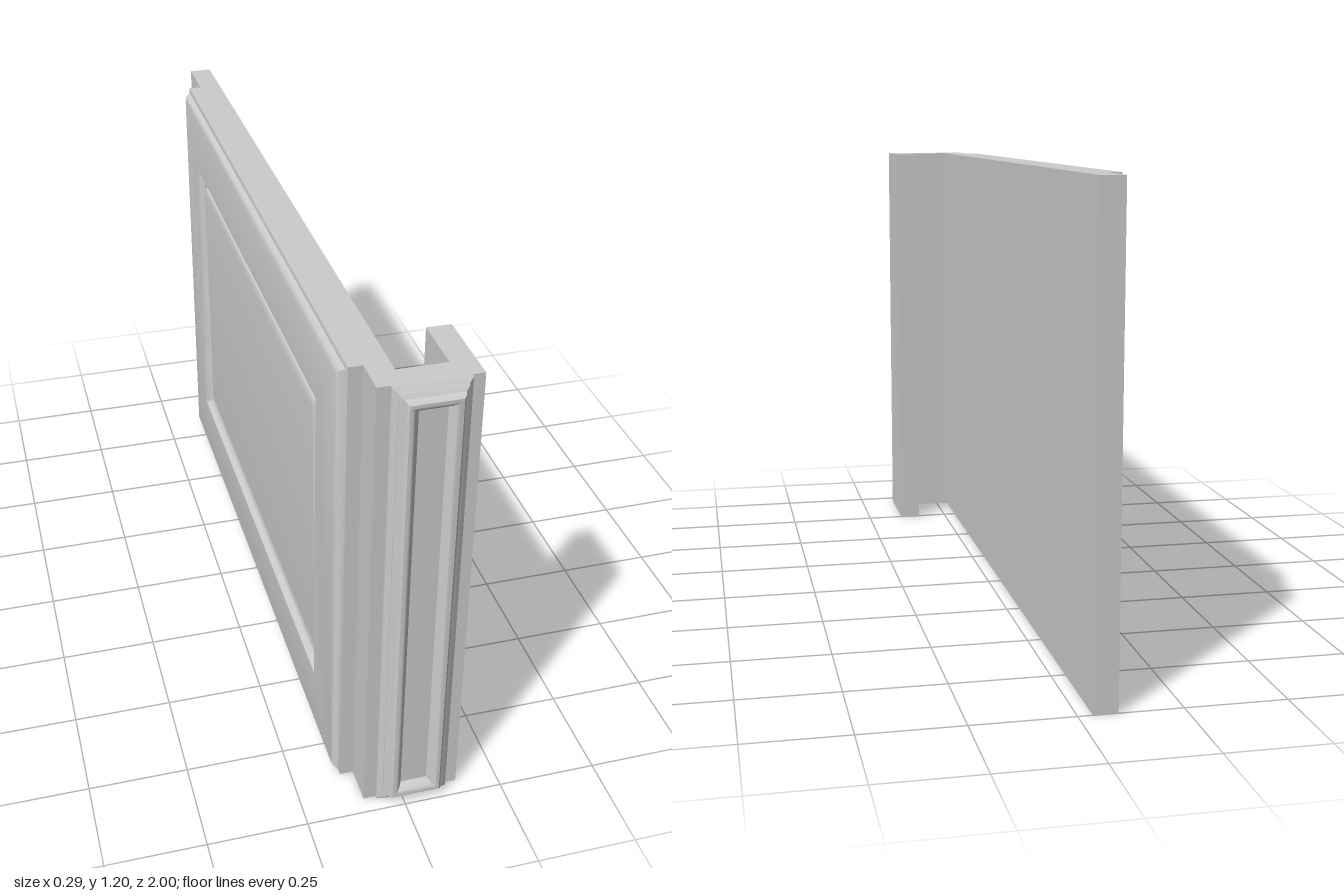
import * as THREE from 'three';
import { toCreasedNormals } from 'three/addons/utils/BufferGeometryUtils.js';

const material = new THREE.MeshStandardMaterial({ color: 0xcccccc });
const HEIGHT = 1.2;

// Rectangular moulded panel facing +z: nested rectangles from [inset, depth] steps, capped in the middle
function mouldedPanel(name, width, height, profile) {
  const positions = [];
  const index = [];
  for (const [inset, depth] of profile) {
    const w = width / 2 - inset;
    const h = height / 2 - inset;
    positions.push(-w, -h, depth, w, -h, depth, w, h, depth, -w, h, depth);
  }
  for (let r = 0; r < profile.length - 1; r++) {
    for (let i = 0; i < 4; i++) {
      const a = r * 4 + i;
      const b = r * 4 + (i + 1) % 4;
      index.push(a, b, b + 4, a, b + 4, a + 4);
    }
  }
  const c = (profile.length - 1) * 4;
  index.push(c, c + 1, c + 2, c, c + 2, c + 3);
  const geometry = new THREE.BufferGeometry();
  geometry.setAttribute('position', new THREE.Float32BufferAttribute(positions, 3));
  geometry.setIndex(index);
  const mesh = new THREE.Mesh(toCreasedNormals(geometry, 0.6), material);
  mesh.name = name;
  return mesh;
}

export function createModel() {
  const group = new THREE.Group();
  group.name = 'panelledWall';

  // Hook-shaped wall: long side, front end and short return, given as [x, z]
  const plan = [
    [-0.095, -1], [-0.035, -1], [-0.035, 0.897], [0.086, 0.897],
    [0.086, 0.743], [0.146, 0.743], [0.146, 0.957], [-0.095, 0.957],
  ];
  const shape = new THREE.Shape(plan.map(([x, z]) => new THREE.Vector2(x, -z)));
  const wallGeometry = new THREE.ExtrudeGeometry(shape, { depth: HEIGHT, bevelEnabled: false });
  wallGeometry.rotateX(-Math.PI / 2);
  const wall = new THREE.Mesh(wallGeometry, material);
  wall.name = 'wall';
  group.add(wall);

  // Wide panel on the outer side, with a groove around a raised field
  const sidePanel = mouldedPanel('sidePanel', 1.715, HEIGHT, [
    [0, 0], [0, 0.034], [0.01, 0.036], [0.013, 0.042], [0.02, 0.049], [0.03, 0.053],
    [0.185, 0.053], [0.188, 0.045], [0.197, 0.036], [0.205, 0.033],
    [0.228, 0.033], [0.232, 0.038], [0.242, 0.042], [0.25, 0.043],
  ]);
  sidePanel.rotation.y = -Math.PI / 2;
  sidePanel.position.set(-0.095, HEIGHT / 2, 0.006);
  group.add(sidePanel);

  // Narrow panel on the front end, with a rounded bead around a sunken field
  const frontPanel = mouldedPanel('frontPanel', 0.18, HEIGHT, [
    [0, 0], [0, 0.008], [0.012, 0.016], [0.012, 0.021], [0.022, 0.027],
    [0.025, 0.037], [0.03, 0.042], [0.036, 0.043], [0.043, 0.04],
    [0.05, 0.032], [0.057, 0.02],
  ]);
  frontPanel.position.set(0.026, HEIGHT / 2, 0.957);
  group.add(frontPanel);

  return group;
}
